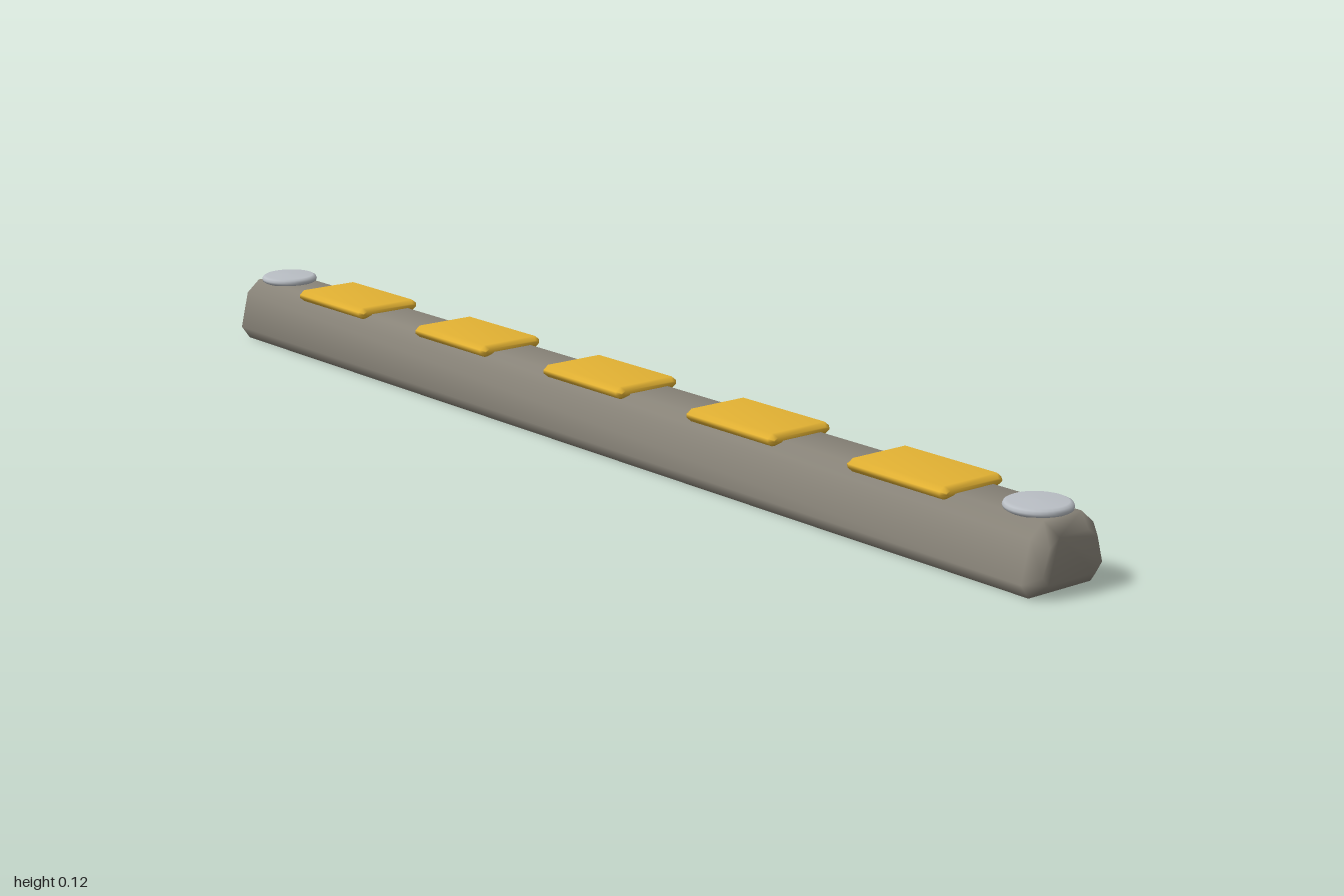
import * as THREE from 'three';

// Smooth bar along x with bevelled ends. `half` lists [z, y] from top to bottom on the +z side.
function bevelledBar(half, halfLength, bevel, endZ, endY) {
  const section = [...half, ...half.map(([z, y]) => [-z, y]).reverse()];
  const n = section.length;
  const midY = (half[0][1] + half[half.length - 1][1]) / 2;
  const rings = [
    [-halfLength, endZ, endY],
    [-halfLength + bevel, 1, 1],
    [halfLength - bevel, 1, 1],
    [halfLength, endZ, endY],
  ];
  const positions = [];
  const index = [];
  for (const [x, sz, sy] of rings) {
    for (const [z, y] of section) positions.push(x, midY + (y - midY) * sy, z * sz);
  }
  for (let r = 0; r < rings.length - 1; r++) {
    for (let j = 0; j < n; j++) {
      const a = r * n + j;
      const b = r * n + (j + 1) % n;
      index.push(a, b, b + n, a, b + n, a + n);
    }
  }
  // End caps
  const last = (rings.length - 1) * n;
  for (let j = 1; j < n - 1; j++) {
    index.push(0, j + 1, j);
    index.push(last, last + j, last + j + 1);
  }
  const geometry = new THREE.BufferGeometry();
  geometry.setAttribute('position', new THREE.Float32BufferAttribute(positions, 3));
  geometry.setIndex(index);
  geometry.computeVertexNormals();
  return geometry;
}

export function createModel() {
  const concrete = new THREE.MeshStandardMaterial({ color: 0x8a857a });
  concrete.name = 'concrete';
  const yellow = new THREE.MeshStandardMaterial({ color: 0xe3b233 });
  yellow.name = 'yellow paint';
  const steel = new THREE.MeshStandardMaterial({ color: 0xb9bec4 });
  steel.name = 'steel';

  const group = new THREE.Group();
  group.name = 'parkingCurb';
  const add = (name, geometry, material, x = 0, y = 0) => {
    const mesh = new THREE.Mesh(geometry, material);
    mesh.name = name;
    mesh.position.set(x, y, 0);
    group.add(mesh);
  };

  // Curb body: tapered block with chamfered edges
  const bodyHalf = [[0.038, 0.106], [0.063, 0.085], [0.078, 0.022], [0.062, 0]];
  add('curbBody', bevelledBar(bodyHalf, 1, 0.022, 0.76, 0.62), concrete);

  // Five yellow pads across the top
  const padHalf = [[0.053, 0.118], [0.062, 0.111], [0.062, 0.105], [0.053, 0.098]];
  const padGeometry = bevelledBar(padHalf, 0.1, 0.008, 0.9, 0.4);
  for (let i = -2; i <= 2; i++) add('yellowPad' + (i + 3), padGeometry, yellow, i * 0.356);

  // Rounded anchor bolt heads at both ends
  const boltProfile = [
    [0, 0], [0.044, 0], [0.049, 0.003], [0.05, 0.007], [0.048, 0.011], [0.043, 0.0135], [0, 0.0145],
  ].map(([r, y]) => new THREE.Vector2(r, y));
  const boltGeometry = new THREE.LatheGeometry(boltProfile, 32);
  add('leftBolt', boltGeometry, steel, 0.933, 0.1045);
  add('rightBolt', boltGeometry, steel, -0.933, 0.1045);

  return group;
}
